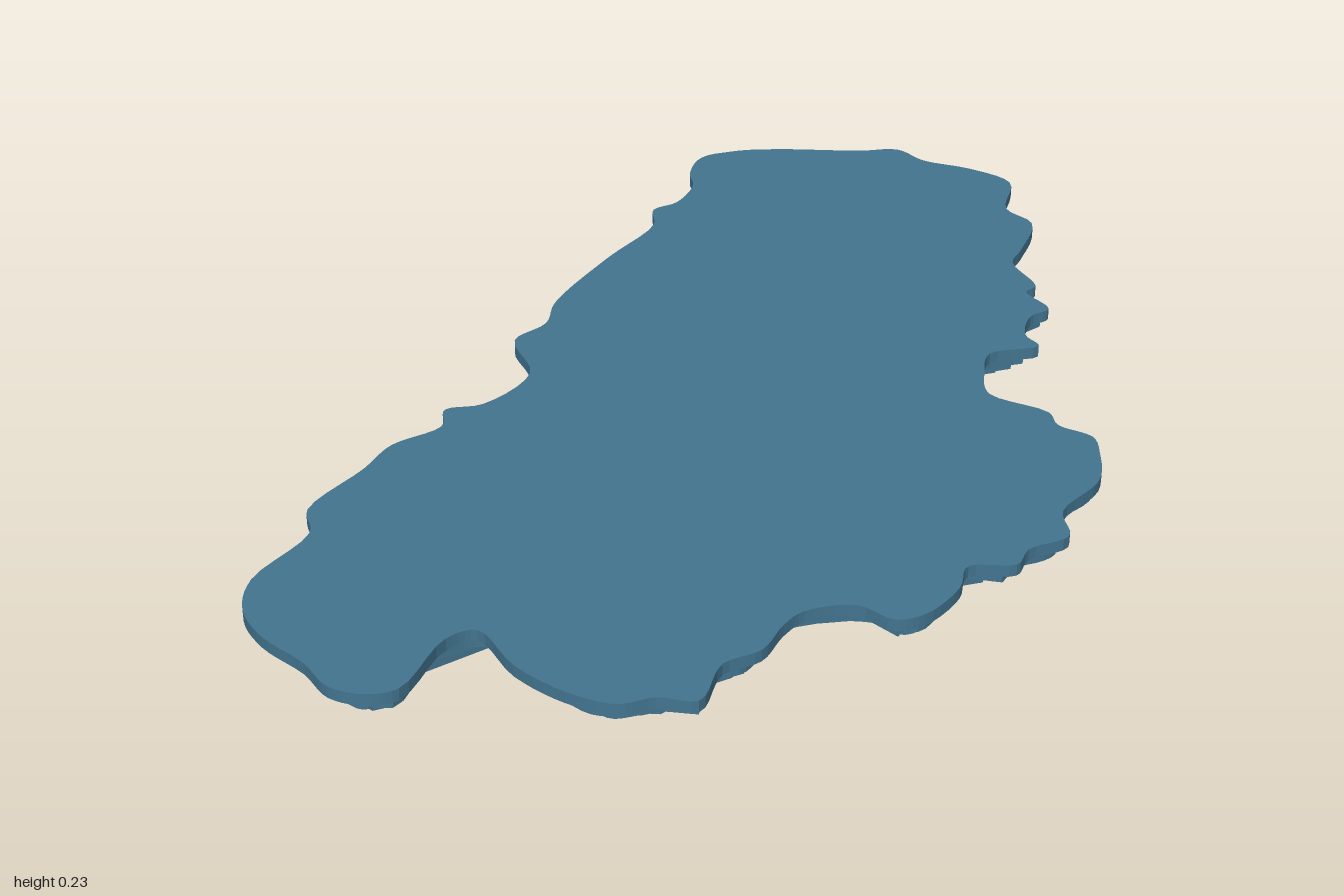
import * as THREE from 'three';

// Shoreline of the top slab, as x, z pairs
const SHORE = [
  .28, -.92, .33, -.99, .42, -1, .52, -.98, .7, -.92, .79, -.9, .83, -.83, .92, -.76, .985, -.67,
  .93, -.55, .96, -.47, .89, -.36, .85, -.31, .86, -.2, .83, -.18, .85, -.1, .8, -.08, .76, -.01, .77, .04,
  .66, .04, .62, .11, .6, .19, .69, .29, .69, .34, .74, .4, .73, .46, .69, .55, .58, .63, .56, .71,
  .47, .73, .43, .77, .34, .75, .3, .81, .21, .87, .15, .87, .1, .81, 0, .8, -.05, .83, -.11, .89, -.19, .91,
  -.26, 1, -.33, .97, -.4, .97, -.48, .91, -.55, .81, -.59, .69, -.65, .7, -.76, .82, -.82, .82, -.88, .78,
  -.91, .7, -.97, .6, -.99, .51, -.96, .42, -.83, .3, -.82, .22, -.69, .11, -.62, .04, -.51, 0,
  -.49, -.06, -.41, -.06, -.29, -.15, -.29, -.29, -.21, -.34, -.17, -.42, -.01, -.58, .13, -.7,
  .15, -.77, .21, -.79, .27, -.86,
];

// Inset of each slab and how far back it reaches, from the top down
const INSETS = [0, .025, .055, .09, .125, .16, .2, .235, .275];
const BACK_LIMITS = [-1, -.98, -.95, -.92, -.89, -.86, -.78, -.65, -.35];
const HEIGHT = .235;
const STEP = HEIGHT / INSETS.length;

// Small hollows in the lowest slab: x, z, radius
const HOLLOWS = [
  [.3, -.02, .03], [.16, -.1, .035], [.22, .18, .03], [.08, .06, .04], [.07, .23, .03],
  [-.13, .28, .035], [-.3, .3, .025], [-.1, .42, .025], [.3, .3, .025],
];

// Closed, gently smoothed shoreline with an inward normal at every point
function buildShore() {
  const corners = [];
  for (let i = 0; i < SHORE.length; i += 2) corners.push(new THREE.Vector3(SHORE[i], 0, SHORE[i + 1]));
  const points = new THREE.CatmullRomCurve3(corners, true, 'centripetal').getPoints(corners.length * 5)
    .slice(0, -1).map((p) => new THREE.Vector2(p.x, p.z));
  const n = points.length;
  return points.map((point, i) => {
    const tangent = points[(i + 5) % n].clone().sub(points[(i + n - 5) % n]).normalize();
    return { point, inward: new THREE.Vector2(-tangent.y, tangent.x) };
  });
}

// Parallel inset of the shore, steeper towards the right end and the back;
// points that come too close to any other stretch of shore are dropped
function insetOutline(shore, inset, layer) {
  if (inset === 0) return shore.map((s) => s.point.clone());
  const moves = shore.map(({ inward }) => inset * (.8 + .2 * inward.x - .2 * inward.y));
  const outline = [];
  shore.forEach(({ point, inward }, i) => {
    const p = point.clone().addScaledVector(inward, moves[i]);
    if (shore.some((s, j) => s.point.distanceTo(p) < moves[j] * .95)) return;
    const rough = .005 * Math.sin(i * .9 + layer * 1.3);
    outline.push(p.addScaledVector(inward, rough));
  });
  return outline;
}

// The lowest slab stops short of the back right end
function cropFoot(p, i) {
  p.x = Math.min(p.x, .54);
  const excess = p.x - p.y - .75 - .05 * Math.sin(i * .8);
  if (excess > 0) { p.x -= excess / 2; p.y += excess / 2; }
}

function hollowPath([x, z, r], n) {
  const points = [];
  for (let k = 0; k < 9; k++) {
    const a = k / 9 * Math.PI * 2;
    const radius = r * (1 + .3 * Math.sin(k * 2.4 + n));
    points.push(new THREE.Vector2(x + radius * Math.cos(a), -z + radius * Math.sin(a)));
  }
  return new THREE.Path(points);
}

export function createModel() {
  const group = new THREE.Group();
  group.name = 'steppedBasin';
  const blue = new THREE.MeshStandardMaterial({ color: 0x437590 });
  blue.name = 'deep water blue';
  const shore = buildShore();

  // Stack of slabs, each smaller than the one above
  INSETS.forEach((inset, layer) => {
    const lowest = layer === INSETS.length - 1;
    const outline = insetOutline(shore, inset, layer);
    outline.forEach((p, i) => {
      p.y = Math.max(p.y, BACK_LIMITS[layer]);
      if (lowest) cropFoot(p, i);
    });
    const shape = new THREE.Shape(outline.map((p) => new THREE.Vector2(p.x, -p.y)));
    if (lowest) shape.holes = HOLLOWS.map(hollowPath);
    const geometry = new THREE.ExtrudeGeometry(shape, { depth: STEP, bevelEnabled: false });
    geometry.rotateX(-Math.PI / 2);
    const slab = new THREE.Mesh(geometry, blue);
    slab.name = layer === 0 ? 'waterSurface' : lowest ? 'basinFloor' : `depthStep${layer}`;
    slab.position.y = HEIGHT - (layer + 1) * STEP;
    group.add(slab);
  });
  return group;
}
